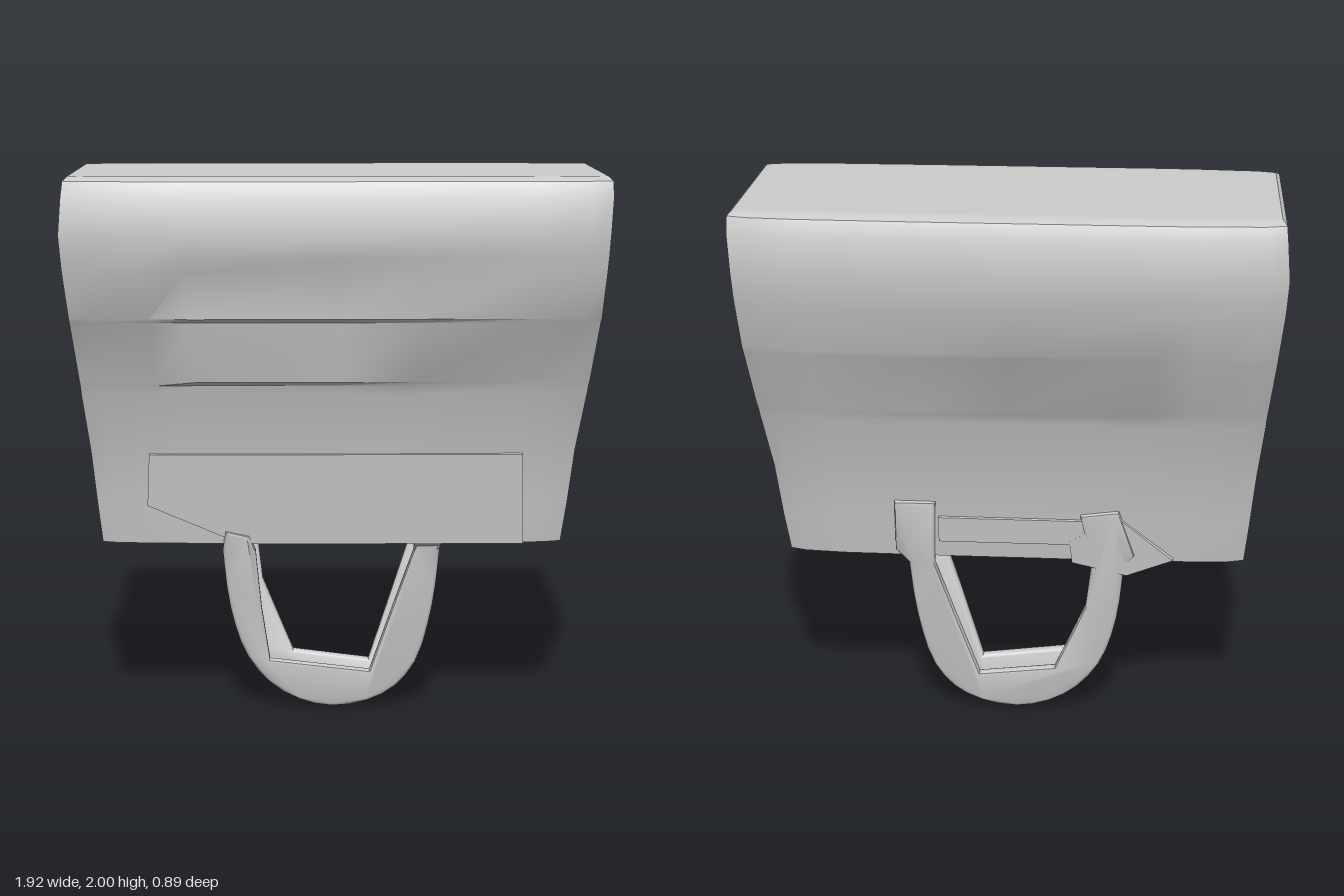
import * as THREE from 'three';
import { toCreasedNormals } from 'three/addons/utils/BufferGeometryUtils.js';

const material = new THREE.MeshStandardMaterial({ color: 0xcccccc, side: THREE.DoubleSide });

function addMesh(group, name, geometry, crease = 0.5) {
  const mesh = new THREE.Mesh(toCreasedNormals(geometry, crease), material);
  mesh.name = name;
  group.add(mesh);
  return mesh;
}

const outlineShape = (points) => new THREE.Shape(points.map(([x, y]) => new THREE.Vector2(x, y)));

// Rows of the bag: y, left and right half width, front z, back z, gusset depth,
// depth at the middle of the gusset, fold height
const ROWS = [
  [2.0, 0.94, 0.94, 0.37, 0.38, 0, 0, 0],
  [1.985, 0.955, 0.955, 0.41, 0.415, 0, 0, 0],
  [1.93, 0.96, 0.955, 0.437, 0.437, 0.01, 0.01, 0],
  [1.8, 0.97, 0.947, 0.446, 0.442, 0.04, 0.045, 0],
  [1.72, 0.965, 0.943, 0.435, 0.432, 0.055, 0.065, 0.006],
  [1.67, 0.962, 0.94, 0.424, 0.422, 0.065, 0.08, -0.012],
  [1.505, 0.945, 0.928, 0.388, 0.383, 0.1, 0.13, 0.008],
  [1.49, 0.944, 0.926, 0.378, 0.377, 0.105, 0.135, -0.01],
  [1.27, 0.92, 0.9, 0.306, 0.302, 0.16, 0.19, 0.01],
  [1.255, 0.918, 0.897, 0.3, 0.296, 0.16, 0.19, -0.008],
  [1.22, 0.916, 0.893, 0.288, 0.284, 0.17, 0.19, -0.006],
  [1.2, 0.914, 0.89, 0.282, 0.278, 0.17, 0.1, -0.006],
  [1.0, 0.893, 0.862, 0.215, 0.212, 0.16, 0.09, 0],
  [0.8, 0.875, 0.84, 0.188, 0.182, 0.14, 0.08, 0],
  [0.65, 0.86, 0.82, 0.165, 0.155, 0.13, 0.08, 0],
];
// Columns across each wall: position, rounding towards the corner, share of the fold
const COLUMNS = [
  [-1, 0.035, 0], [-0.93, 0.016, 0], [-0.7, 0.003, 0.1], [-0.55, 0, 1], [0, 0, 1],
  [0.3, 0, 0.4], [0.75, 0.004, 0], [0.93, 0.016, 0], [1, 0.035, 0],
];

// One closed outline around the bag, with both ends folded inward
function section([y, left, right, front, back, depth, middle, fold], sx = 1, sz = 1) {
  const points = [];
  const add = (x, z) => points.push([x * sx, y, z * sz]);
  const xAt = (t) => (t < 0 ? t * left : t * right);
  const lip = Math.min(0.025, depth);
  const side = (w, s) => {
    const run = [
      [w - lip, front * 0.62], [w - depth, front * 0.5], [w - middle, front * 0.32],
      [w - middle, -back * 0.6], [w - depth, -back * 0.66], [w - lip, -back * 0.72],
    ];
    if (s < 0) run.reverse();
    run.forEach(([x, z]) => add(x * s, z));
  };
  COLUMNS.forEach(([t, round, share]) => add(xAt(t), front - round + fold * share));
  side(right, 1);
  [...COLUMNS].reverse().forEach(([t, round, share]) => add(xAt(t), -back + round - fold * share * 0.3));
  side(left, -1);
  return points;
}

// Skin between successive outlines, with a fan closing each end
function skin(loops) {
  const n = loops[0].length;
  const positions = loops.flat(2);
  const index = [];
  for (let i = 0; i < loops.length - 1; i++) {
    for (let j = 0; j < n; j++) {
      const k = (j + 1) % n;
      const a = i * n + j, b = i * n + k, c = a + n, d = b + n;
      index.push(a, c, b, b, c, d);
    }
  }
  const top = positions.length / 3;
  positions.push(0, loops[0][0][1], 0, 0, loops[loops.length - 1][0][1], 0);
  const last = (loops.length - 1) * n;
  for (let j = 0; j < n; j++) {
    const k = (j + 1) % n;
    index.push(top, j, k, top + 1, last + k, last + j);
  }
  const geometry = new THREE.BufferGeometry();
  geometry.setAttribute('position', new THREE.Float32BufferAttribute(positions, 3));
  geometry.setIndex(index);
  return geometry;
}

// Flat U-shaped strap that leans with the wall of the bag
function handle(sign, leftTop, rightTop, inner) {
  const curve = new THREE.SplineCurve([[-0.42, 0.62], [-0.395, 0.4], [-0.33, 0.2], [-0.2, 0.06], [-0.02, 0.003],
    [0.17, 0.05], [0.29, 0.18], [0.35, 0.4], [0.375, 0.62]].map(([x, y]) => new THREE.Vector2(x, y)));
  const outer = curve.getPoints(24).map((p) => [p.x, p.y]);
  const shape = outlineShape([...outer, ...rightTop, [0.28, 0.62], ...inner, [-0.3, 0.62], ...leftTop]);
  const geometry = new THREE.ExtrudeGeometry(shape, {
    depth: 0.022, bevelEnabled: true, bevelSize: 0.012, bevelThickness: 0.012, bevelOffset: -0.012, bevelSegments: 2,
  });
  const p = geometry.attributes.position;
  for (let i = 0; i < p.count; i++) {
    const y = p.getY(i);
    const lift = y > 0.64 ? 0.018 : 0;
    p.setZ(i, p.getZ(i) - 0.011 + sign * (0.062 + 0.125 * y + lift));
  }
  return geometry;
}

export function createModel() {
  const group = new THREE.Group();

  // Flat base, outer walls, rim and lining of the upturned bag
  const base = section(ROWS[0], 0.97, 0.92);
  const lining = [14, 12, 7, 3].map((i) => section([...ROWS[i].slice(0, 7), 0], 0.95, 0.82));
  addMesh(group, 'bagBody', skin([base, ...ROWS.map((row) => section(row)), ...lining]));

  // Flat pocket on the front wall, following its slope
  const pocketShape = outlineShape([[-0.68, 0.345], [-0.69, 0.15], [-0.42, 0.03], [-0.3, 0], [0.68, 0], [0.67, 0.345]]);
  const pocket = addMesh(group, 'frontPocket', new THREE.ExtrudeGeometry(pocketShape, { depth: 0.02, bevelEnabled: false }));
  pocket.position.set(0, 0.652, 0.155);
  pocket.rotation.x = 0.142;

  // Two carrying straps
  addMesh(group, 'frontHandle', handle(1, [[-0.32, 0.68], [-0.41, 0.7]], [[0.38, 0.65], [0.28, 0.65]],
    [[0.205, 0.4], [0.12, 0.145], [-0.25, 0.19], [-0.28, 0.4]]), 0.8);
  addMesh(group, 'backHandle', handle(-1, [[-0.26, 0.84], [-0.4, 0.86], [-0.46, 0.68]],
    [[0.42, 0.68], [0.42, 0.88], [0.27, 0.88]],
    [[0.2, 0.38], [0.12, 0.145], [-0.165, 0.18], [-0.28, 0.45]]), 0.8);

  // Loose cloth at the back rim, following the slope of the wall
  const fold = addMesh(group, 'backFold', new THREE.BoxGeometry(0.56, 0.1, 0.03));
  fold.position.set(-0.02, 0.77, -0.175);
  fold.rotation.x = -0.14;
  const flapShape = outlineShape([[-0.6, 0.67], [-0.43, 0.6], [-0.23, 0.65], [-0.22, 0.74], [-0.4, 0.84]]);
  const flap = addMesh(group, 'backFlap', new THREE.ExtrudeGeometry(flapShape, { depth: 0.06, bevelEnabled: false }));
  flap.position.z = -0.082;
  flap.rotation.x = -0.14;

  return group;
}
